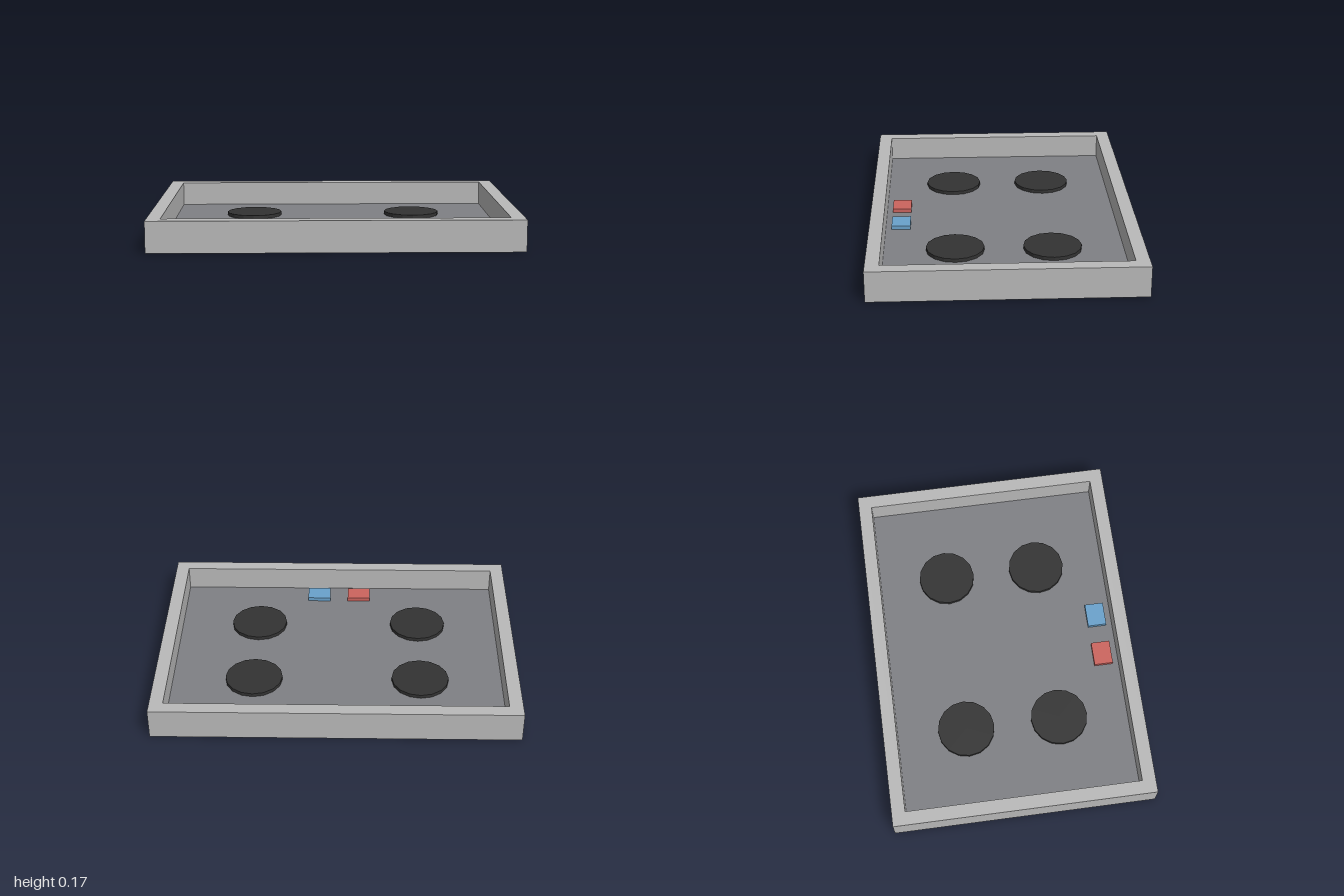
import * as THREE from 'three';

const paint = (name, color) => {
  const m = new THREE.MeshStandardMaterial({ color });
  m.name = name;
  return m;
};

export function createModel() {
  const group = new THREE.Group();
  const rimGrey = paint('rim grey', 0xb9b9b9);
  const floorGrey = paint('floor grey', 0x7f8084);
  const burnerBlack = paint('burner black', 0x333333);
  const red = paint('red', 0xcc645e);
  const blue = paint('blue', 0x6aa2cc);

  const W = 2, D = 1.462, H = 0.172, rim = 0.075, floorY = 0.036;

  const add = (name, geometry, material, x, y, z) => {
    const mesh = new THREE.Mesh(geometry, material);
    mesh.name = name;
    mesh.position.set(x, y, z);
    group.add(mesh);
    return mesh;
  };

  // Base slab, a hair inside the frame's outer faces
  add('baseSlab', new THREE.BoxGeometry(W - 0.002, floorY, D - 0.002), floorGrey, 0, floorY / 2, 0);

  // Raised frame: one rectangle with a rectangular opening
  const outline = (Path, w, d) => new Path([
    new THREE.Vector2(-w / 2, -d / 2), new THREE.Vector2(w / 2, -d / 2),
    new THREE.Vector2(w / 2, d / 2), new THREE.Vector2(-w / 2, d / 2),
  ]);
  const shape = outline(THREE.Shape, W, D);
  shape.holes.push(outline(THREE.Path, W - 2 * rim, D - 2 * rim));
  const frame = new THREE.ExtrudeGeometry(shape, { depth: H - 0.002, bevelEnabled: false });
  frame.rotateX(-Math.PI / 2);
  add('frame', frame, rimGrey, 0, 0.002, 0);

  // Four round burners
  const burner = new THREE.CylinderGeometry(0.16, 0.16, 0.02, 16).toNonIndexed();
  burner.computeVertexNormals();
  for (const x of [-0.467, 0.467]) {
    for (const z of [-0.266, 0.266]) add('burner', burner, burnerBlack, x, floorY + 0.01, z);
  }

  // Two control buttons near the front
  const button = new THREE.BoxGeometry(0.134, 0.022, 0.106);
  add('redButton', button, red, -0.12, floorY + 0.011, 0.569);
  add('blueButton', button, blue, 0.12, floorY + 0.011, 0.569);

  return group;
}
